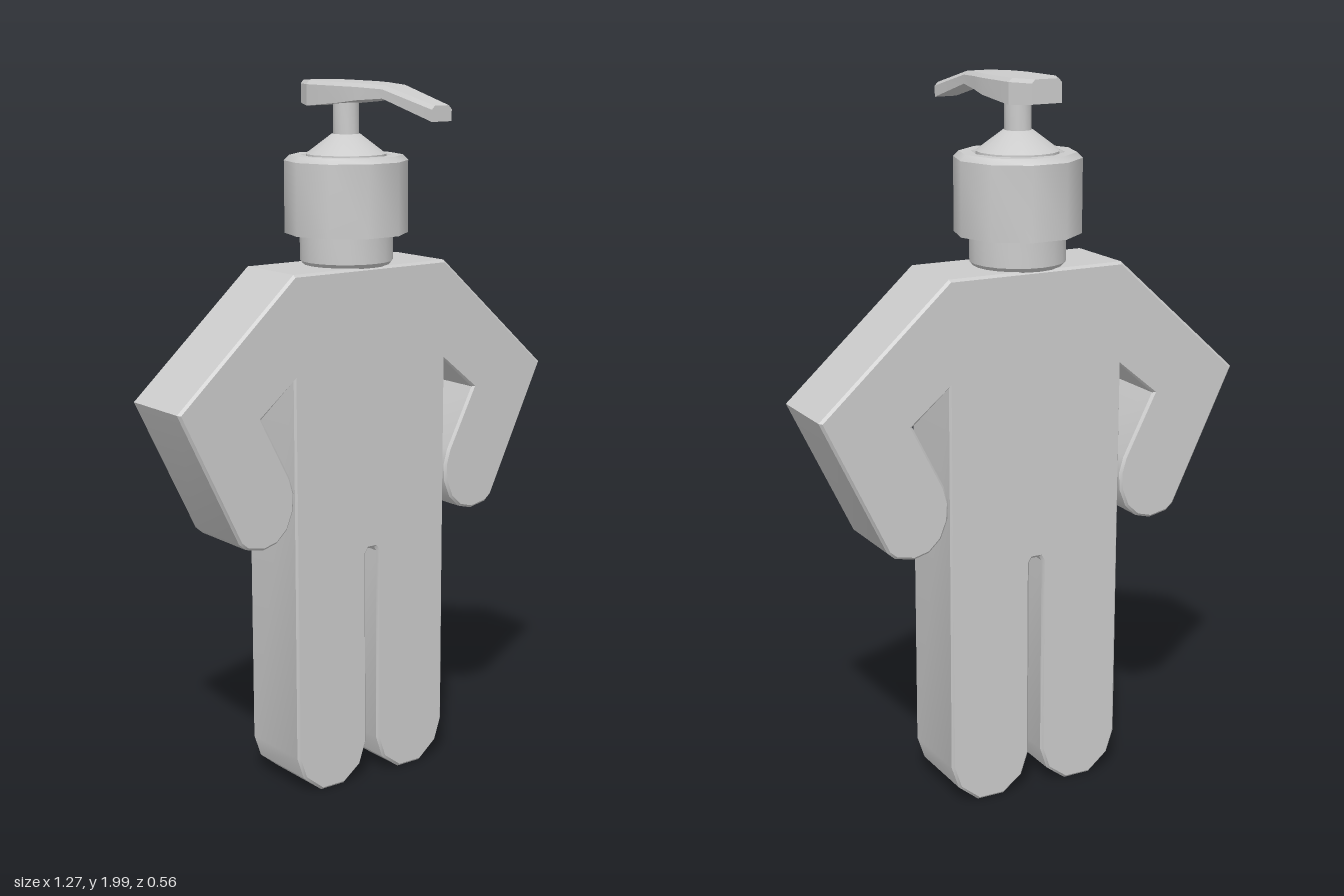
import * as THREE from 'three';
import { toCreasedNormals } from 'three/addons/utils/BufferGeometryUtils.js';

const PUMP_Z = -0.12;
const material = new THREE.MeshStandardMaterial({ color: 0xcccccc });

function add(group, name, geometry, crease = 0.66) {
  const mesh = new THREE.Mesh(toCreasedNormals(geometry, crease), material);
  mesh.name = name;
  group.add(mesh);
  return mesh;
}

// Turned part from [radius, height] pairs, bottom to top, with a corner on the x axis
function turned(profile, sides) {
  const points = profile.map(([r, y]) => new THREE.Vector2(r, y));
  return new THREE.LatheGeometry(points, sides).rotateY(Math.PI / 2).translate(0, 0, PUMP_Z);
}

// Flat figure: one half outline, mirrored, extruded with a fine bevel
function bodyGeometry() {
  const half = [
    [0.26, 1.5], [0.632, 1.165],                                    // shoulder, elbow
    [0.447, 0.785], [0.425, 0.766], [0.37, 0.755], [0.325, 0.767],  // hand
    [0.29, 0.8], [0.27, 0.85], [0.267, 0.9], [0.28, 0.945],
    [0.37, 1.12], [0.262, 1.212],                                   // inner elbow, armpit
    [0.262, 0.12], [0.24, 0.055], [0.18, 0.006], [0.1, 0.006],      // leg and foot
    [0.042, 0.05], [0.02, 0.115], [0.02, 0.685], [0.012, 0.697],    // crotch
  ];
  const mirrored = half.map(([x, y]) => [-x, y]).reverse();
  const shape = new THREE.Shape([...half, ...mirrored].map(([x, y]) => new THREE.Vector2(x, y)));
  const bevel = 0.007, depth = 0.232;
  return new THREE.ExtrudeGeometry(shape, {
    depth: depth - 2 * bevel, bevelEnabled: true, bevelSegments: 1,
    bevelSize: bevel, bevelThickness: bevel, bevelOffset: -bevel,
  }).translate(0, 0, bevel - depth / 2);
}

// Pump head lofted along z through six-sided sections
function headGeometry() {
  const b = 0.01;
  // z, half width, underside, top
  const sections = [
    [-0.265, 0.045, 1.937, 2.0], [-0.2, 0.075, 1.932, 2.0], [-0.06, 0.073, 1.945, 1.999],
    [0.0, 0.063, 1.953, 1.998], [0.09, 0.045, 1.96, 1.994], [0.278, 0.034, 1.907, 1.948],
  ];
  const positions = [], index = [], n = 6;
  for (const [z, w, lo, hi] of sections) {
    for (const [x, y] of [[-w, lo], [w, lo], [w, hi - b], [w - b, hi], [b - w, hi], [-w, hi - b]])
      positions.push(x, y, z);
  }
  for (let i = 0; i < sections.length - 1; i++) {
    for (let j = 0; j < n; j++) {
      const a = i * n + j, c = i * n + (j + 1) % n;
      index.push(a, c, c + n, a, c + n, a + n);
    }
  }
  const end = (sections.length - 1) * n;
  for (let j = 1; j < n - 1; j++) {
    index.push(0, j + 1, j, end, end + j, end + j + 1);
  }
  const geometry = new THREE.BufferGeometry();
  geometry.setAttribute('position', new THREE.Float32BufferAttribute(positions, 3));
  geometry.setIndex(index);
  return geometry;
}

export function createModel() {
  const model = new THREE.Group();
  model.name = 'figurePumpBottle';

  const body = add(model, 'body', bodyGeometry(), 0.5);
  body.position.z = -0.118;
  body.rotation.y = -0.03;

  add(model, 'neck', turned([[0, 1.498], [0.12, 1.498], [0.13, 1.51], [0.13, 1.6]], 20));
  add(model, 'collar', turned([
    [0.12, 1.585], [0.172, 1.585], [0.172, 1.785], [0.157, 1.8], [0.125, 1.8], [0.115, 1.79], [0, 1.79],
  ], 10));
  add(model, 'collarCone', turned([[0.112, 1.785], [0.112, 1.803], [0.04, 1.857], [0, 1.857]], 16));
  add(model, 'stem', turned([[0.036, 1.85], [0.036, 1.96]], 12));
  add(model, 'pumpHead', headGeometry(), 0.2);
  return model;
}
